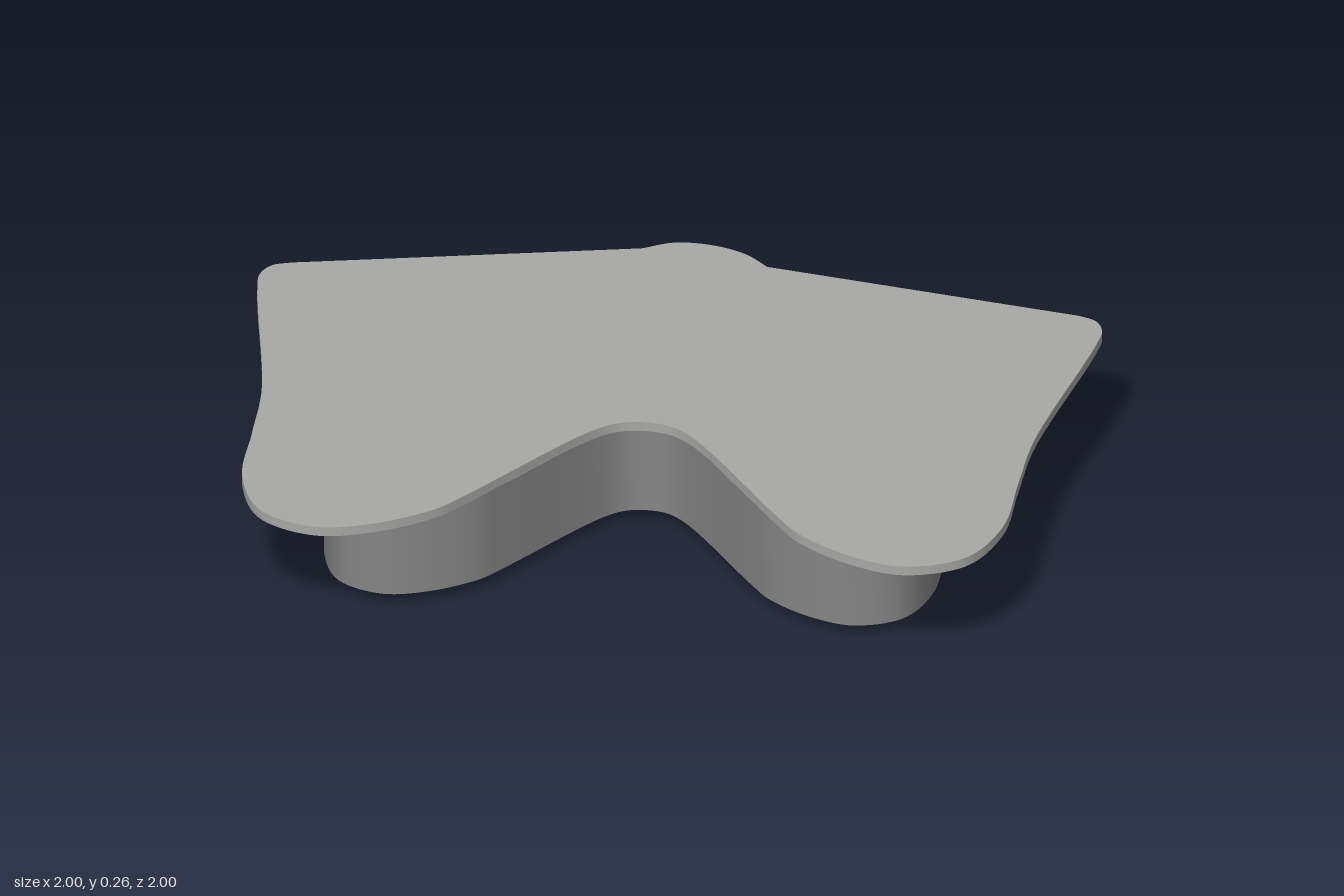
import * as THREE from 'three';
import { toCreasedNormals } from 'three/addons/utils/BufferGeometryUtils.js';

const mat = (name, color, side = THREE.FrontSide) => {
  const m = new THREE.MeshStandardMaterial({ color, side });
  m.name = name;
  return m;
};

export function createModel() {
  const roofGrey = mat('roof grey', 0xa8a8a6);
  const wallGrey = mat('wall grey', 0x858585);
  const panelGrey = mat('pale facade', 0xb8b8b4);
  const doorGrey = mat('door grey', 0x686866);
  const poleGrey = mat('pole grey', 0x555553);
  const frameBlack = mat('frame black', 0x1c1c1c);

  const model = new THREE.Group();
  model.name = 'pavilion';
  const add = (parent, name, geo, material) => {
    const m = new THREE.Mesh(geo, material);
    m.name = name;
    parent.add(m);
    return m;
  };

  // Plan points are [x, z]; the plan mirrors across the diagonal x = -z
  const half = [
    [-0.26, -0.985], [-0.30, -1.0], [-0.345, -0.985], [-0.39, -0.935], [-0.66, -0.56],
    [-0.8, -0.41], [-0.94, -0.26], [-1.0, -0.11], [-0.95, 0.02], [-0.84, 0.085],
    [-0.69, 0.115], [-0.6, 0.105], [-0.2, 0.036], [-0.125, 0.043],
  ];
  const mirrored = half.map(([x, z]) => [-z, -x]).reverse();
  const curve = new THREE.CatmullRomCurve3(
    [...half, [-0.076, 0.076], ...mirrored].map(([x, z]) => new THREE.Vector3(x, 0, z)), false, 'centripetal');
  const sweep = curve.getPoints(220).map(p => [p.x, p.z]);

  // Extrudes a plan outline upward from y0 to y1
  const slab = (plan, y0, y1) => {
    const shape = new THREE.Shape(plan.map(([x, z]) => new THREE.Vector2(x, -z)));
    const g = new THREE.ExtrudeGeometry(shape, { depth: y1 - y0, bevelEnabled: false });
    g.rotateX(-Math.PI / 2).translate(0, y0, 0);
    return toCreasedNormals(g, 0.5);
  };

  // Roof with the small rounded canopy over the entrance
  const canopy = new THREE.CatmullRomCurve3(
    [[0.57, -0.335], [0.567, -0.41], [0.535, -0.485], [0.475, -0.547], [0.40, -0.57]]
      .map(([x, z]) => new THREE.Vector3(x, 0, z))).getPoints(20).map(p => [p.x, p.z]);
  add(model, 'roof', slab([...sweep, ...canopy], 0.236, 0.258), roofGrey);

  // Floor and walls are set in from the roof edge
  const inner = sweep.map(([x, z]) => [x * 0.8, z * 0.8]);
  add(model, 'floor', slab([...inner, [0.47, -0.31], [0.31, -0.47]], 0.025, 0.031), wallGrey);

  // Facade corners in entrance coordinates: [sideways, forward]
  const facade = [[0.62, 0.365], [0.54, 0.34], [0.27, 0.345], [0.106, 0.53]];
  const toPlan = ([u, v]) => [(u + v) * Math.SQRT1_2, (u - v) * Math.SQRT1_2];
  const recess = [...facade, ...facade.map(([u, v]) => [-u, v]).reverse()].map(toPlan);
  add(model, 'walls', slab([...inner, ...recess], 0.03, 0.237), wallGrey);

  // Entrance group: local +z points out of the doors
  const entrance = new THREE.Group();
  entrance.name = 'entrance';
  entrance.rotation.y = Math.PI * 0.75;
  model.add(entrance);

  const box = (name, w, h, d, x, y, z, material, parent = entrance) => {
    const m = add(parent, name, new THREE.BoxGeometry(w, h, d), material);
    m.position.set(x, y, z);
    return m;
  };

  // Plate standing on the line between two facade corners
  const plate = (name, a, b, y0, y1, offset, thick, material) => {
    const dx = b[0] - a[0], dz = b[1] - a[1], len = Math.hypot(dx, dz);
    const m = box(name, len, y1 - y0, thick,
      (a[0] + b[0]) / 2 - dz / len * offset, (y0 + y1) / 2, (a[1] + b[1]) / 2 + dx / len * offset, material);
    m.rotation.y = -Math.atan2(dz, dx);
  };

  // Central bay
  plate('bayPanel', [-0.106, 0.53], [0.106, 0.53], 0.031, 0.236, 0.002, 0.004, panelGrey);
  box('doorPanel', 0.2, 0.1, 0.004, 0, 0.081, 0.534, doorGrey);
  for (const y of [0.136, 0.16]) box('bayBar', 0.212, 0.006, 0.008, 0, y, 0.536, frameBlack);
  box('bayMullion', 0.005, 0.074, 0.008, 0, 0.198, 0.536, frameBlack);

  // Leaning poles: [foot, head] sideways positions
  const poles = [[0.36, 0.285], [0.385, 0.31], [0.41, 0.365], [0.425, 0.44],
    [0.46, 0.44], [0.475, 0.49], [0.505, 0.497], [0.515, 0.535]];
  const up = new THREE.Vector3(0, 1, 0);

  for (const s of [-1, 1]) {
    // Recessed and angled facade panels
    const run = (p, q) => s > 0 ? [p, q] : [[-q[0], q[1]], [-p[0], p[1]]];
    const back = run([0.27, 0.345], [0.54, 0.34]);
    const angled = run([0.106, 0.53], [0.27, 0.345]);
    plate('recessedPanel', ...back, 0.031, 0.236, 0.002, 0.004, panelGrey);
    plate('angledPanel', ...angled, 0.031, 0.236, 0.002, 0.004, panelGrey);
    plate('angledRail', ...angled, 0.129, 0.133, 0.005, 0.004, frameBlack);

    for (const [foot, head] of poles) {
      const a = new THREE.Vector3(s * foot, 0.03, 0.356), b = new THREE.Vector3(s * head, 0.237, 0.356);
      const dir = b.clone().sub(a);
      const m = add(entrance, 'leaningPole', new THREE.CylinderGeometry(0.004, 0.004, dir.length(), 6), poleGrey);
      m.position.copy(a).add(b).multiplyScalar(0.5);
      m.quaternion.setFromUnitVectors(up, dir.normalize());
    }

    // Door frame
    const frame = new THREE.Group();
    frame.name = 'doorFrame';
    frame.position.set(s * 0.106, 0, 0.544);
    entrance.add(frame);
    for (const x of [-0.038, 0, 0.038]) box('framePost', x ? 0.008 : 0.005, 0.124, 0.014, x, 0.062, 0, frameBlack, frame);
    for (const y of [0.004, 0.12]) box('frameRail', 0.084, 0.008, 0.014, 0, y, 0, frameBlack, frame);
  }
  return model;
}
